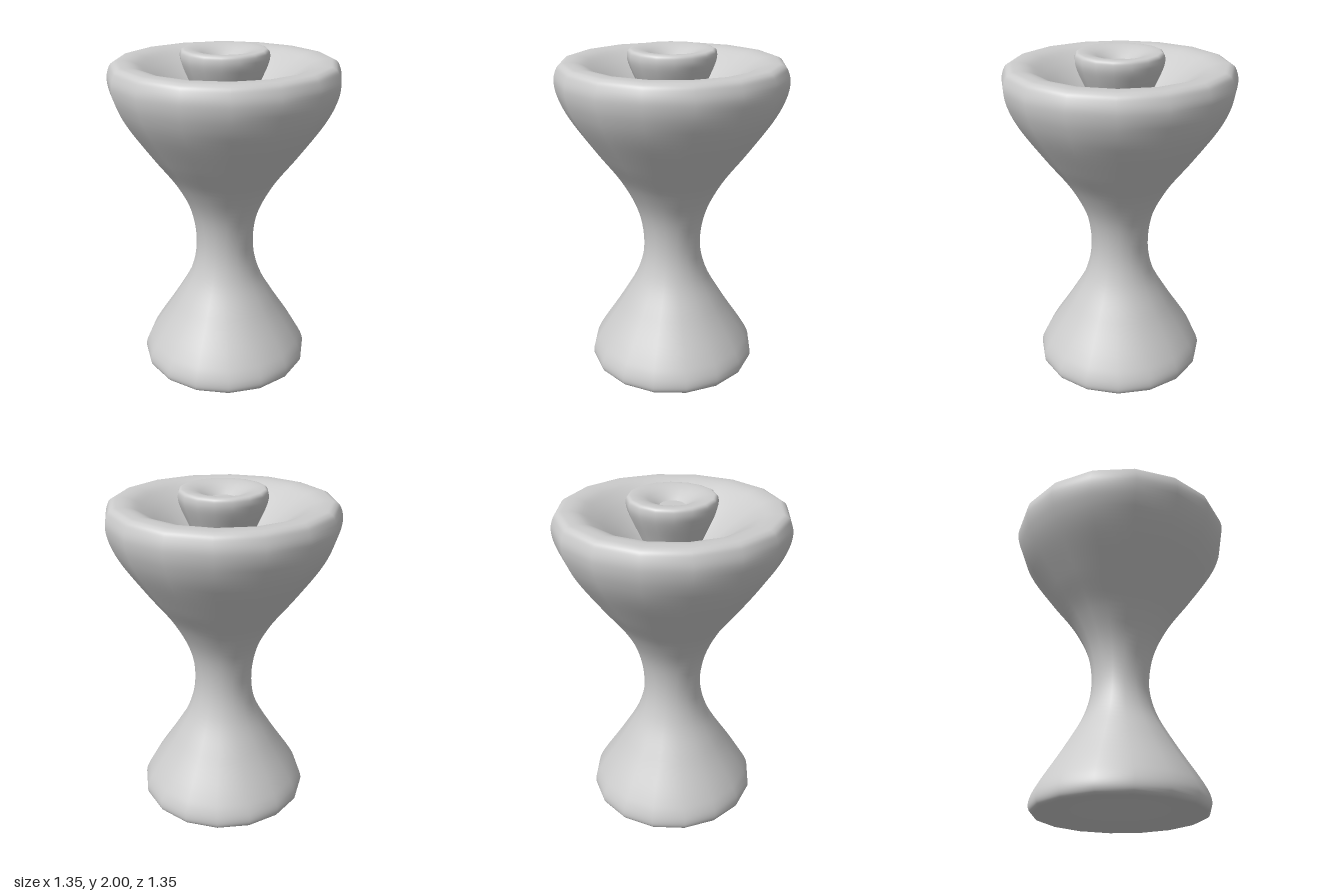
import * as THREE from 'three';

const SIDES = 16;
const material = new THREE.MeshStandardMaterial({ color: 0xcccccc, side: THREE.DoubleSide });

// Turns a smooth curve through [radius, height] points around the y axis
function turned(name, profile, samples, phiStart = 0) {
  const curve = new THREE.SplineCurve(profile.map(([r, y]) => new THREE.Vector2(r, y)));
  const points = curve.getPoints(samples);
  points.forEach((p) => { p.x = Math.max(p.x, 0); p.y = Math.min(Math.max(p.y, 0), 2); });
  const mesh = new THREE.Mesh(new THREE.LatheGeometry(points, SIDES, phiStart), material);
  mesh.name = name;
  return mesh;
}

export function createModel() {
  const group = new THREE.Group();
  group.name = 'hourglassStand';
  const twist = THREE.MathUtils.degToRad(-6.6);

  // Hourglass body: dished underside, flared foot, narrow waist, rounded rim and open bowl
  group.add(turned('body', [
    [0, 0.125], [0.15, 0.08], [0.28, 0.037], [0.39, 0.01], [0.47, 0.002], [0.507, 0.012],
    [0.52, 0.05], [0.505, 0.11], [0.455, 0.2], [0.327, 0.4], [0.217, 0.6], [0.177, 0.79],
    [0.205, 1.0], [0.302, 1.2], [0.45, 1.4], [0.59, 1.6], [0.655, 1.73], [0.676, 1.83],
    [0.66, 1.9], [0.635, 1.928], [0.6, 1.935], [0.55, 1.932], [0.5, 1.915], [0.43, 1.872],
    [0.36, 1.82], [0.28, 1.755], [0.2, 1.69], [0.13, 1.64],
  ], 162));

  // Tapered cup rising from the middle of the bowl, with a shallow hollow on top
  group.add(turned('cup', [
    [0.13, 1.64], [0.155, 1.7], [0.195, 1.79], [0.238, 1.885], [0.256, 1.94],
    [0.256, 1.978], [0.245, 1.996], [0.225, 2.0], [0.19, 1.997], [0.15, 1.986],
    [0.11, 1.966], [0.072, 1.942],
  ], 66, twist));

  // Small round plate closing the hollow
  const plate = new THREE.Mesh(new THREE.CircleGeometry(0.072, SIDES, twist), material);
  plate.name = 'cupPlate';
  plate.rotation.x = -Math.PI / 2;
  plate.position.y = 1.942;
  group.add(plate);

  return group;
}
